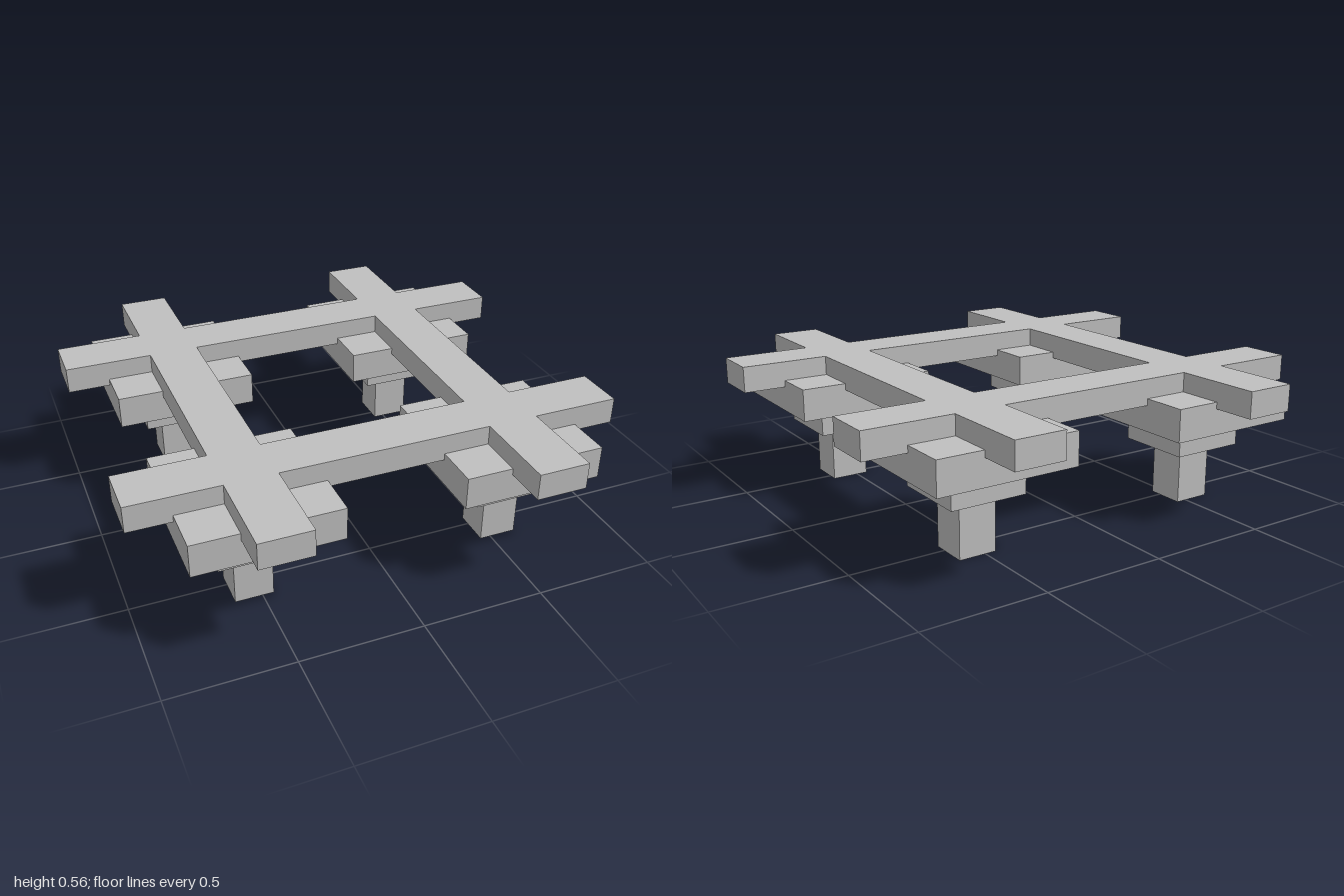
import * as THREE from 'three';

export function createModel() {
  const group = new THREE.Group();
  group.name = 'crossedBeamFrame';
  const grey = new THREE.MeshStandardMaterial({ color: 0xbfbfbf });
  grey.name = 'plain grey';

  // Crossed beams: one outline with overhanging ends and an open middle
  const inner = 0.43, outer = 0.637, end = 1;
  const quarter = [
    [outer, inner], [end, inner], [end, outer], [outer, outer],
    [outer, end], [inner, end], [inner, outer],
  ];
  const outline = [];
  for (let i = 0; i < 4; i++) {
    for (const [x, y] of quarter) {
      outline.push(new THREE.Vector2(x, y).rotateAround(new THREE.Vector2(), i * Math.PI / 2));
    }
  }
  const shape = new THREE.Shape(outline);
  shape.holes.push(new THREE.Path([
    new THREE.Vector2(-inner, -inner), new THREE.Vector2(-inner, inner),
    new THREE.Vector2(inner, inner), new THREE.Vector2(inner, -inner),
  ]));
  const bottom = 0.457, top = 0.565;
  const beamGeometry = new THREE.ExtrudeGeometry(shape, { depth: top - bottom, bevelEnabled: false });
  beamGeometry.rotateX(-Math.PI / 2);
  const beams = new THREE.Mesh(beamGeometry, grey);
  beams.name = 'crossedBeams';
  beams.position.y = bottom;
  group.add(beams);

  // Stepped square support under each crossing: name, width, bottom, top
  const tiers = [
    ['post', 0.156, 0, 0.233],
    ['middleBlock', 0.316, 0.233, 0.351],
    ['topBlock', 0.584, 0.351, 0.485],
  ];
  for (const sx of [-1, 1]) {
    for (const sz of [-1, 1]) {
      const support = new THREE.Group();
      support.name = (sz > 0 ? 'front' : 'back') + (sx > 0 ? 'Left' : 'Right') + 'Support';
      support.position.set(sx * 0.533, 0, sz * 0.533);
      for (const [name, width, y0, y1] of tiers) {
        const block = new THREE.Mesh(new THREE.BoxGeometry(width, y1 - y0, width), grey);
        block.name = name;
        block.position.y = (y0 + y1) / 2;
        support.add(block);
      }
      group.add(support);
    }
  }
  return group;
}
